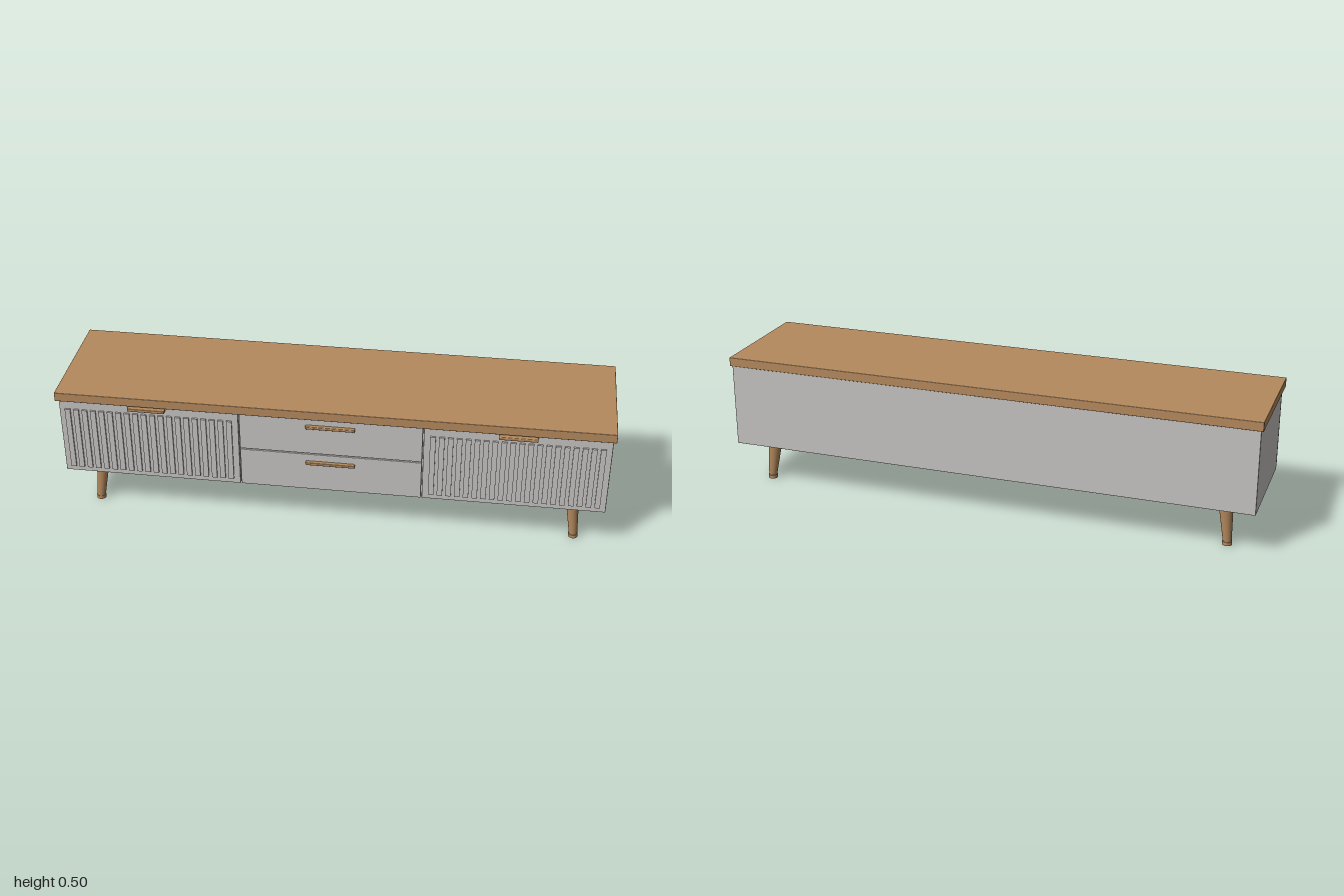
import * as THREE from 'three';
import { RoundedBoxGeometry } from 'three/addons/geometries/RoundedBoxGeometry.js';

export function createModel() {
  const model = new THREE.Group();
  model.name = 'mediaConsole';

  const wood = new THREE.MeshStandardMaterial({ name: 'oak wood', color: 0xb58a5d });
  const paint = new THREE.MeshStandardMaterial({ name: 'grey paint', color: 0xc6c4c2 });

  const add = (name, geometry, material, parent = model) => {
    const mesh = new THREE.Mesh(geometry, material);
    mesh.name = name;
    parent.add(mesh);
    return mesh;
  };

  // Box given by its limits on each axis, with an optional softened edge
  const block = (name, [x0, x1], [y0, y1], [z0, z1], material, radius = 0, parent = model) => {
    const size = [x1 - x0, y1 - y0, z1 - z0];
    const geometry = radius
      ? new RoundedBoxGeometry(...size, 2, radius)
      : new THREE.BoxGeometry(...size);
    add(name, geometry, material, parent)
      .position.set((x0 + x1) / 2, (y0 + y1) / 2, (z0 + z1) / 2);
  };

  // Carcass and overhanging top
  block('cabinetBody', [-0.992, 0.992], [0.157, 0.468], [-0.232, 0.196], paint, 0.0015);
  block('tableTop', [-1, 1], [0.468, 0.502], [-0.237, 0.229], wood, 0.002);

  // Two stacked drawers, each with a bar handle
  [['lower', 0.161, 0.313, 0.28], ['upper', 0.317, 0.464, 0.434]].forEach(([level, y0, y1, handleY]) => {
    block(`${level}DrawerFront`, [-0.329, 0.329], [y0, y1], [0.196, 0.215], paint, 0.0015);
    block(`${level}DrawerHandle`, [-0.089, 0.089], [handleY - 0.0055, handleY + 0.0055],
      [0.214, 0.23], wood, 0.003);
  });

  // Slatted doors with an edge pull at the top
  const slats = 20, slatStart = 0.35, slatEnd = 0.975;
  const pitch = (slatEnd - slatStart) / slats;
  for (const [side, s] of [['left', 1], ['right', -1]]) {
    const door = new THREE.Group();
    door.name = `${side}Door`;
    model.add(door);
    const span = (a, b) => (s > 0 ? [a, b] : [-b, -a]);
    block('doorPanel', span(0.333, 0.99), [0.161, 0.464], [0.196, 0.215], paint, 0.0015, door);
    for (let i = 0; i < slats; i++) {
      const x = slatStart + (i + 0.5) * pitch;
      block('doorSlat', span(x - pitch * 0.31, x + pitch * 0.31), [0.182, 0.431],
        [0.214, 0.222], paint, 0, door);
    }
    block('doorHandle', span(0.596, 0.732), [0.452, 0.464], [0.214, 0.239], wood, 0.003, door);
  }

  // Splayed tapered legs: a sheared cone on a short upright foot
  const legTop = 0.16, footTop = 0.013;
  const addLeg = (name, x, topZ, footZ, topRadius) => {
    const leg = new THREE.Group();
    leg.name = name;
    model.add(leg);
    const topX = x * 0.874, footX = x * 0.889;
    const shaft = new THREE.CylinderGeometry(topRadius, 0.0155, legTop - footTop, 32);
    const p = shaft.attributes.position;
    for (let i = 0; i < p.count; i++) {
      const t = p.getY(i) / (legTop - footTop) + 0.5;
      p.setXYZ(i,
        p.getX(i) + THREE.MathUtils.lerp(footX, topX, t),
        THREE.MathUtils.lerp(footTop, legTop, t),
        p.getZ(i) + THREE.MathUtils.lerp(footZ, topZ, t));
    }
    add('legShaft', shaft, wood, leg);
    add('legFoot', new THREE.CylinderGeometry(0.0175, 0.0175, footTop, 32), wood, leg)
      .position.set(footX, footTop / 2, footZ);
  };
  for (const [side, s] of [['Left', 1], ['Right', -1]]) {
    addLeg(`front${side}Leg`, s, 0.135, 0.152, 0.024);
    addLeg(`back${side}Leg`, s, -0.148, -0.16, 0.027);
  }

  return model;
}
